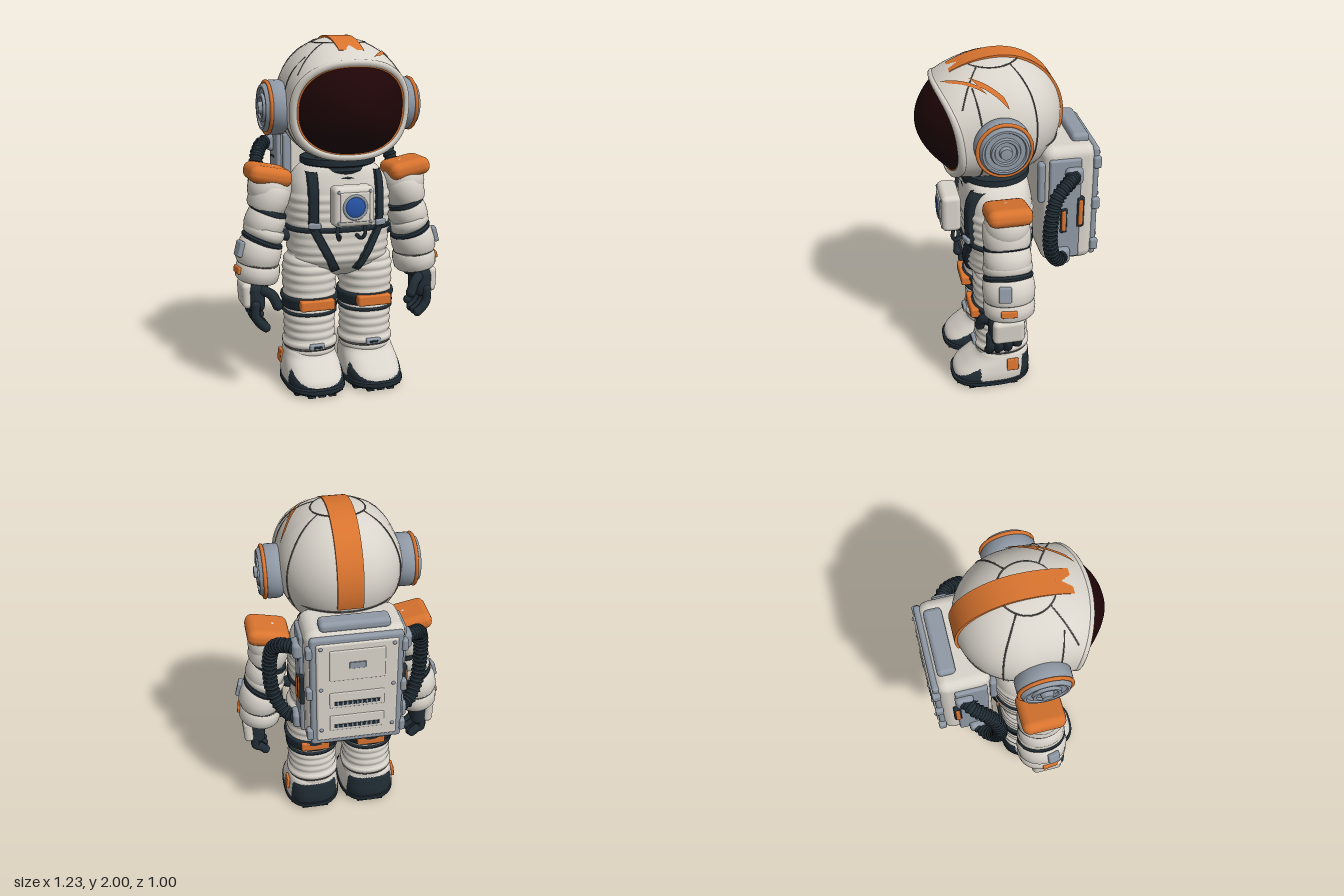
import * as THREE from 'three';
import { mergeVertices, mergeGeometries, toCreasedNormals } from 'three/addons/utils/BufferGeometryUtils.js';
import { RoundedBoxGeometry } from 'three/addons/geometries/RoundedBoxGeometry.js';

const PI = Math.PI;
const V = (x, y, z) => new THREE.Vector3(x, y, z);
const mat = (name, color, side = THREE.FrontSide) => Object.assign(new THREE.MeshStandardMaterial({ color, side }), { name });
const spow = (c, n) => Math.sign(c) * Math.abs(c) ** (2 / n);
const spline = (a, b, c, d, t) => 0.5 * (2 * b + (c - a) * t + (2 * a - 5 * b + 4 * c - d) * t * t + (3 * b - a - 3 * c + d) * t ** 3);

// Surface from fn(u, v) -> [x, y, z]; its front is dU x dV
function grid(fn, nu, nv) {
  const p = [], idx = [];
  for (let j = 0; j <= nv; j++) for (let i = 0; i <= nu; i++) p.push(...fn(i / nu, j / nv));
  for (let j = 0; j < nv; j++) for (let i = 0; i < nu; i++) {
    const a = j * (nu + 1) + i, c = a + nu + 1;
    idx.push(a, a + 1, c, a + 1, c + 1, c);
  }
  const g = new THREE.BufferGeometry().setAttribute('position', new THREE.Float32BufferAttribute(p, 3)).setIndex(idx);
  const m = mergeVertices(g, 1e-5);
  m.computeVertexNormals();
  return m;
}

// Upright loft through rows [y, cx, cz, halfX, halfZ, power]
function loft(rows, sub, ripple = () => 0, seg = 48) {
  const n = rows.length - 1, row = k => rows[Math.max(0, Math.min(n, k))];
  return grid((u, v) => {
    const i = Math.min(Math.floor(v * n + 1e-6), n - 1), t = v * n - i, a = u * 2 * PI;
    const [y, cx, cz, hx, hz, e] = row(i).map((b, k) => sub === 1 ? b + (row(i + 1)[k] - b) * t
      : spline(row(i - 1)[k], b, row(i + 1)[k], row(i + 2)[k], t));
    return [cx + (hx + ripple(y)) * spow(Math.cos(a), e), y, cz - (hz + ripple(y)) * spow(Math.sin(a), e)];
  }, seg, n * sub);
}

// Puts faces whose centre passes the test in a second material group
function split(g, test) {
  const p = g.attributes.position, id = g.index.array, parts = [[], []];
  for (let i = 0; i < id.length; i += 3) {
    const t = [id[i], id[i + 1], id[i + 2]], mid = f => t.reduce((s, k) => s + p[f](k), 0) / 3;
    parts[test(mid('getY'), mid('getZ')) ? 1 : 0].push(...t);
  }
  g.setIndex(parts.flat());
  g.addGroup(0, parts[0].length, 0);
  g.addGroup(parts[0].length, parts[1].length, 1);
  return g;
}

const box = (w, h, d, r) => new RoundedBoxGeometry(w, h, d, 2, r);
const ball = r => new THREE.SphereGeometry(r, 12, 8);
const tube = (pts, r, n = 24) => new THREE.TubeGeometry(new THREE.CatmullRomCurve3(pts), n, r, 8);
const rod = (pts, r) => mergeGeometries([tube(pts, r, 12), ...[pts[0], pts[pts.length - 1]].map(q => ball(r).translate(q.x, q.y, q.z))]);
const lathe = pts => toCreasedNormals(new THREE.LatheGeometry(pts.map(p => new THREE.Vector2(...p)), 40), 0.7);
const puff = (r, h) => lathe([[0, -h / 2], [r * 0.88, -h / 2], [r * 0.96, -h * 0.38], [r, 0], [r * 0.96, h * 0.38], [r * 0.88, h / 2], [0, h / 2]]);

// Helmet: round back, hood flowing forward into the visor rim
const rimZ = (x, y) => 0.36 + 0.12 * (y - 1.615) - 0.07 * (x / 0.33) ** 2;
function hood(a, t, k = 1) {
  const n = 2 + 0.4 * t, x = k * (0.345 - 0.01 * t) * spow(Math.cos(a), n);
  const y = 1.655 - 0.04 * t * t + k * (0.345 - 0.075 * t * t) * spow(Math.sin(a), n);
  return [x, y, 0.04 + (rimZ(x, y) - 0.04) * t];
}
function helmetTop(x, z) {
  if (z < 0.04) return V(x, 1.655 + Math.sqrt(0.345 ** 2 - x * x - (z - 0.04) ** 2), z);
  const t = (z - 0.04) / (0.345 - 0.07 * (x / 0.33) ** 2), n = 2 + 0.4 * t;
  const f = (1 - Math.min(1, Math.abs(x) / (0.345 - 0.01 * t)) ** n) ** (1 / n);
  return V(x, 1.655 - 0.04 * t * t + (0.345 - 0.075 * t * t) * f, z);
}
const onBall = (x, y, z) => V(x, y, z).setLength(0.345).add(V(0, 1.655, 0.04));

// Torso rows, also used to lay straps on its front
const torso = [[0.64, 0.02, 0.02], [0.66, 0.12, 0.1], [0.72, 0.25, 0.165], [0.8, 0.285, 0.19], [0.94, 0.29, 0.195], [1.05, 0.295, 0.2],
  [1.15, 0.29, 0.2], [1.22, 0.27, 0.19], [1.28, 0.22, 0.175], [1.31, 0.15, 0.15]].map(([y, a, b]) => [y, 0, 0.06, a, b, 2.6]);
function torsoZ(x, y) {
  const i = torso.findIndex(r => r[0] > y), A = torso[i - 1], B = torso[i];
  const mix = k => A[k] + (B[k] - A[k]) * (y - A[0]) / (B[0] - A[0]);
  return 0.06 + mix(4) * Math.max(0, 1 - Math.abs(x / mix(3)) ** 2.6) ** (1 / 2.6);
}

export function createModel() {
  const white = mat('suit white', 0xd9d4cb), gray = mat('metal gray', 0x8f99a5), seam = mat('seam', 0x5f5c57);
  const orange = mat('orange', 0xd9742f, THREE.DoubleSide), dark = mat('dark rubber', 0x212d35, THREE.DoubleSide);
  const visor = mat('visor', 0x1f0507), blue = mat('blue lens', 0x2854a8);
  const root = new THREE.Group();
  const group = name => { const g = new THREE.Group(); g.name = name; root.add(g); return g; };
  const add = (parent, name, geo, m, pos = [0, 0, 0], rot = [0, 0, 0], scale = [1, 1, 1]) => {
    const o = new THREE.Mesh(geo, m);
    o.name = name; o.position.set(...pos); o.rotation.set(...rot); o.scale.set(...scale);
    parent.add(o);
    return o;
  };
  const helmet = group('helmet'), body = group('torso'), chest = group('chestBox'), pack = group('backpack');

  // Helmet shell, rim and visor
  add(helmet, 'helmetShell', new THREE.SphereGeometry(0.344, 48, 32), white, [0, 1.655, 0.04]);
  add(helmet, 'helmetHood', grid((u, v) => hood(u * 2 * PI, v), 72, 16), white);
  const ring = (a, b, r) => grid((u, v) => {
    const t = u * 2 * PI, w = v * 2 * PI, k = r * Math.cos(w);
    const x = (a + k) * spow(Math.cos(t), 2.4), y = 1.615 + (b + k) * spow(Math.sin(t), 2.4);
    return [x, y, rimZ(x, y) + r * Math.sin(w)];
  }, 72, 10);
  add(helmet, 'visorRim', ring(0.32, 0.255, 0.02), white);
  add(helmet, 'visorTrim', ring(0.302, 0.24, 0.011), orange);
  add(helmet, 'visorGlass', grid((u, v) => {
    const t = u * 2 * PI, q = 1 - v, x = 0.3 * q * spow(Math.cos(t), 2.4), y = 1.615 + 0.24 * q * spow(Math.sin(t), 2.4);
    return [x, y, rimZ(x, y) + 0.135 * (1 - q * q)];
  }, 72, 18), visor);

  // Band over the crown
  const line = [];
  for (let i = 0; i < 40; i++) line.push([0.04 + 0.351 * Math.cos(PI * (1.09 - i * 0.01475)), 1.655 + 0.349 * Math.sin(PI * (1.09 - i * 0.01475))]);
  for (let i = 0; i <= 20; i++) line.push([0.04 + i * 0.0135, helmetTop(0, 0.04 + i * 0.0135).y + 0.004]);
  const under = line.map(([z, y]) => [0.04 + (z - 0.04) * 0.94, 1.655 + (y - 1.655) * 0.94]).reverse();
  const bandShape = new THREE.Shape([...line, ...under].map(p => new THREE.Vector2(...p)));
  add(helmet, 'crownBand', toCreasedNormals(new THREE.ExtrudeGeometry(bandShape, { depth: 0.14, bevelEnabled: false }).rotateY(-PI / 2), 0.5), orange, [0.07, 0, 0]);

  // Two overlapping patches on the left of the hood
  for (const [t0, t1, w, d] of [[0.02, 0.5, 6, 3], [0.4, 0.88, 5, -2]])
    add(helmet, 'hoodPatch', grid((u, v) => {
      const t = t0 + (t1 - t0) * v;
      return hood((25 + 54 * t + d + w * (2 * u - 1)) * PI / 180, Math.max(0, t + (u - 0.5) * 0.1), 1.02);
    }, 6, 16), orange);

  // Panel seams and ear pods
  const crown = Array.from({ length: 32 }, (_, i) => helmetTop(0.147 * Math.cos(i * PI / 16), 0.08 + 0.147 * Math.sin(i * PI / 16)));
  add(helmet, 'crownSeam', new THREE.TubeGeometry(new THREE.CatmullRomCurve3(crown, true), 64, 0.004, 6, true), seam);
  for (const s of [1, -1]) {
    for (const pts of [[0, 1, 2, 3, 4].map(i => helmetTop(s * (0.11 + 0.045 * i), 0.17 + 0.027 * i)),
      [50, 30, 10, -10, -30, -50, -65].map(d => V(...hood(d * PI / 180, 0.55)).multiply(V(s, 1, 1))),
      [[0.12, 0.32, -0.04], [0.2, 0.26, -0.09], [0.26, 0.18, -0.13], [0.3, 0.05, -0.15], [0.3, -0.1, -0.15], [0.24, -0.24, -0.13]].map(([x, y, z]) => onBall(x * s, y, z)),
      [0.3, 0.2, 0.1, 0].map(x => onBall(x * s, -0.12, -Math.sqrt(0.1046 - x * x)))]) add(helmet, 'panelSeam', tube(pts, 0.004), seam);
    const ear = group(s > 0 ? 'leftEarPod' : 'rightEarPod');
    ear.position.set(0.32 * s, 1.62, 0.083);
    ear.rotation.z = -s * PI / 2;
    add(ear, 'podBody', lathe([[0, 0], [0.14, 0], [0.15, 0.02], [0.15, 0.075], [0.14, 0.09], [0.13, 0.115], [0.122, 0.125], [0.11, 0.125], [0.105, 0.115],
      [0.08, 0.115], [0.075, 0.13], [0.06, 0.13], [0.055, 0.12], [0.035, 0.12], [0.03, 0.145], [0, 0.148]]), gray);
    add(ear, 'podTrim', new THREE.TorusGeometry(0.142, 0.011, 8, 48), orange, [0, 0.096, 0], [PI / 2, 0, 0]);
  }

  // Torso, belt and collar
  add(body, 'torsoShell', loft(torso, 10, y => (y > 0.74 && y < 1.14 ? 0.008 * Math.abs(Math.sin((y - 0.74) / 0.05 * PI)) : 0)), white);
  add(body, 'belt', loft([[0.925, 0.28, 0.19], [0.93, 0.305, 0.21], [0.955, 0.305, 0.21], [0.96, 0.28, 0.19]].map(([y, a, b]) => [y, 0, 0.06, a, b, 2.6]), 1), dark);
  add(body, 'collar', lathe([[0.17, 1.2], [0.2, 1.23], [0.19, 1.25], [0.2, 1.27], [0.195, 1.29], [0.215, 1.3], [0.215, 1.335], [0.18, 1.35], [0, 1.36]]), dark, [0, 0, 0.065], [0, 0, 0], [1, 1, 0.93]);

  // Harness straps, buckles and hoses
  const strap = (x0, y0, x1, y1, w) => {
    const d = Math.hypot(x1 - x0, y1 - y0) / w * 2;
    add(body, 'strap', grid((u, v) => {
      const k = 2 * u - 1, x = x0 + (x1 - x0) * v - (y1 - y0) * k / d, y = y0 + (y1 - y0) * v + (x1 - x0) * k / d;
      return [x, y, torsoZ(x, y) + (Math.abs(k) > 0.9 ? 0 : 0.026)];
    }, 12, 20), dark);
  };
  for (const s of [1, -1]) {
    strap(0.192 * s, 1.27, 0.192 * s, 0.95, 0.055);
    strap(0.19 * s, 0.95, 0.06 * s, 0.7, 0.05);
    add(body, 'buckle', box(0.07, 0.035, 0.025, 0.01), gray, [0.192 * s, 0.975, torsoZ(0.19, 0.975) + 0.03], [0, 0.35 * s, 0]);
    add(body, 'chestHose', tube([V(0.075 * s, 1.0, 0.31), V(0.08 * s, 0.93, 0.32), V(0.065 * s, 0.9, 0.3), V(0.05 * s, 0.91, 0.26)], 0.011), dark);
    add(body, 'hipConnector', ball(0.035), dark, [0.305 * s, 0.89, 0.06]);
    for (const y of [1.01, 1.18]) add(chest, 'screw', ball(0.01), gray, [0.09 * s, y, 0.38], [0, 0, 0], [1, 1, 0.5]);
  }

  // Chest control box
  add(chest, 'chestCase', box(0.235, 0.225, 0.11, 0.03), white, [0, 1.095, 0.325]);
  add(chest, 'chestPlate', box(0.17, 0.165, 0.02, 0.009), white, [0, 1.095, 0.377]);
  add(chest, 'lensRing', new THREE.TorusGeometry(0.063, 0.009, 8, 40), gray, [0, 1.095, 0.386]);
  add(chest, 'lens', new THREE.SphereGeometry(0.062, 32, 12), blue, [0, 1.095, 0.383], [0, 0, 0], [1, 1, 0.25]);

  for (const s of [1, -1]) {
    // Arm: tilted puffs and bands
    const arm = group(s > 0 ? 'leftArm' : 'rightArm');
    add(arm, 'shoulder', new THREE.SphereGeometry(0.125, 32, 20), white, [0.4 * s, 1.17, 0.07]);
    add(arm, 'shoulderPad', box(0.245, 0.1, 0.245, 0.045), orange, [0.41 * s, 1.248, 0.068], [0, 0, 0.2 * s]);
    for (const [name, x, y, tilt, r, h, m] of [['upperArm', 0.405, 1.12, 0.35, 0.115, 0.15, white], ['upperBand', 0.414, 1.045, 0.42, 0.113, 0.04, dark],
      ['elbow', 0.43, 0.98, 0.42, 0.115, 0.12, white], ['elbowFold', 0.437, 0.925, 0.42, 0.12, 0.07, white], ['lowerBand', 0.448, 0.875, 0.42, 0.122, 0.035, dark],
      ['forearm', 0.468, 0.805, 0.28, 0.127, 0.14, white], ['cuffLine', 0.475, 0.75, 0.2, 0.122, 0.03, seam], ['cuff', 0.477, 0.7, 0.16, 0.126, 0.11, white], ['gloveCuff', 0.485, 0.64, 0.15, 0.075, 0.06, dark]])
      add(arm, name, puff(r, h), m, [x * s, y, 0.072], [0, 0, tilt * s], [1, 1, 1.16]);
    add(arm, 'wristDisplay', box(0.03, 0.09, 0.07, 0.01), gray, [0.587 * s, 0.845, 0.115], [0, -0.2 * s, 0.25 * s]);
    add(arm, 'cuffPatch', box(0.02, 0.04, 0.09, 0.008), orange, [0.597 * s, 0.72, 0.095], [0, -0.12 * s, 0.16 * s]);
    // Glove
    add(arm, 'palm', box(0.1, 0.18, 0.19, 0.045), dark, [0.505 * s, 0.565, 0.1]);
    add(arm, 'handGuard', box(0.06, 0.15, 0.18, 0.028), white, [0.555 * s, 0.58, 0.09], [0, 0, -0.05 * s]);
    for (const [z, e] of [[0.185, 0], [0.133, 0], [0.081, 0], [0.03, 0.03]])
      add(arm, 'finger', rod([V(0.515 * s, 0.53, z), V(0.515 * s, 0.46, z), V(0.49 * s, 0.42 + e, z), V(0.46 * s, 0.393 + e, z)], 0.027), dark);
    add(arm, 'thumb', rod([V(0.48 * s, 0.61, 0.16), V(0.43 * s, 0.59, 0.21), V(0.4 * s, 0.53, 0.225)], 0.03), dark);

    // Leg: ribbed tubes with a knee band
    const leg = group(s > 0 ? 'leftLeg' : 'rightLeg'), lx = 0.17 * s;
    const pleat = step => y => 0.009 * Math.abs(Math.sin(y / step * PI));
    for (const [name, m, sub, ripple, rows] of [['thigh', white, 13, pleat(0.052), [[0.52, 0.142], [0.65, 0.147], [0.74, 0.14], [0.8, 0.11]]],
      ['kneeBand', dark, 1, undefined, [[0.465, 0.13], [0.475, 0.16], [0.5, 0.155], [0.525, 0.166], [0.545, 0.162], [0.55, 0.13]]],
      ['kneeRing', dark, 1, undefined, [[0.435, 0.13], [0.44, 0.157], [0.455, 0.157], [0.46, 0.13]]],
      ['shin', white, 40, pleat(0.048), [[0.2, 0.14], [0.48, 0.14]]],
      ['ankleRing', white, 1, undefined, [[0.235, 0.14], [0.245, 0.157], [0.268, 0.157], [0.278, 0.14]]],
      ['ankleLine', seam, 1, undefined, [[0.228, 0.13], [0.23, 0.15], [0.238, 0.15], [0.24, 0.13]]]])
      add(leg, name, loft(rows.map(([y, r]) => [y, lx, 0.06, r, r * 1.06, 2.2]), sub, ripple), m);
    add(leg, 'kneePad', box(0.2, 0.062, 0.06, 0.012), orange, [lx, 0.51, 0.223]);
    add(leg, 'rearKneePad', box(0.17, 0.062, 0.05, 0.012), orange, [lx, 0.51, -0.087]);
    add(leg, 'ankleBuckle', box(0.09, 0.035, 0.03, 0.01), gray, [lx, 0.257, 0.222]);
    add(leg, 'buckleSlot', box(0.05, 0.012, 0.008, 0.003), dark, [lx, 0.257, 0.237]);

    // Boot with dark toe and heel panels, sole and treads
    const boot = group(s > 0 ? 'leftBoot' : 'rightBoot'), bx = 0.176 * s;
    const bootRows = list => list.map(([y, w, z0, z1]) => [y, bx, (z0 + z1) / 2, w, (z1 - z0) / 2, 2.7]);
    add(boot, 'bootShell', split(loft(bootRows([[0.045, 0.165, -0.1, 0.36], [0.09, 0.168, -0.105, 0.345], [0.14, 0.162, -0.103, 0.285], [0.185, 0.152, -0.1, 0.225], [0.22, 0.14, -0.09, 0.2], [0.23, 0.12, -0.07, 0.18]]), 7, undefined, 108),
      (y, z) => (z > 0.21 && y < 0.06 + (0.36 - z) * 0.53) || (z < -0.03 - (y - 0.05) * 0.1 && y < 0.2)), [white, dark]);
    add(boot, 'sole', toCreasedNormals(loft(bootRows([[0.018, 0.001, 0.1, 0.12], [0.018, 0.165, -0.1, 0.362], [0.03, 0.173, -0.106, 0.37], [0.05, 0.173, -0.106, 0.37], [0.06, 0.16, -0.095, 0.355]]), 1), 0.6), dark);
    for (let i = 0; i < 7; i++) for (let j = -2; j <= 2; j++)
      if (Math.abs(j) < 2 || (i > 0 && i < 6)) add(boot, 'tread', new THREE.BoxGeometry(0.042, 0.024, 0.04), dark, [bx + j * 0.06, 0.012, -0.06 + i * 0.064]);
    add(boot, 'bootPatch', box(0.02, 0.075, 0.07, 0.006), orange, [bx + 0.158 * s, 0.158, 0.018], [0, 0, 0.12 * s]);

    // Ribbed backpack hose
    const path = new THREE.CatmullRomCurve3([V(0.29, 1.37, -0.33), V(0.35, 1.37, -0.29), V(0.41, 1.3, -0.2), V(0.43, 1.13, -0.165), V(0.41, 0.97, -0.18), V(0.35, 0.88, -0.235), V(0.29, 0.87, -0.27)].map(p => p.multiply(V(s, 1, 1))));
    add(pack, 'hose', new THREE.TubeGeometry(path, 40, 0.035, 14), dark);
    for (let i = 1; i < 26; i++) {
      const o = add(pack, 'hoseRib', new THREE.TorusGeometry(0.034, 0.009, 6, 16), dark, path.getPointAt(i / 26).toArray());
      o.lookAt(o.position.clone().add(path.getTangentAt(i / 26)));
    }
    // Backpack side fittings
    for (const [name, m, size, pos] of [['sidePanel', gray, [0.03, 0.62, 0.18, 0.014], [0.275, 1.155, -0.28]], ['shoulderMount', gray, [0.05, 0.24, 0.04, 0.015], [0.24, 1.32, -0.155]],
      ['slotFrame', dark, [0.03, 0.16, 0.045, 0.012], [0.28, 1.09, -0.275]], ['slotLight', orange, [0.03, 0.13, 0.026, 0.01], [0.287, 1.09, -0.275]],
      ['slotFrame', dark, [0.03, 0.19, 0.045, 0.012], [0.28, 1.135, -0.37]], ['slotLight', orange, [0.03, 0.16, 0.026, 0.01], [0.287, 1.135, -0.37]],
      ['sideLine', dark, [0.02, 0.014, 0.08, 0.005], [0.284, 1.29, -0.29]], ['hoseMount', gray, [0.06, 0.1, 0.1, 0.025], [0.295, 1.37, -0.325]], ['hoseMount', gray, [0.06, 0.1, 0.1, 0.025], [0.295, 0.87, -0.265]]])
      add(pack, name, box(...size), m, [pos[0] * s, pos[1], pos[2]]);
    for (const y of [1.42, 1.165, 0.9]) {
      add(pack, 'frameClip', box(0.035, 0.07, 0.045, 0.012), gray, [0.255 * s, y, -0.465]);
      add(pack, 'rivet', ball(0.011), gray, [0.195 * s, y + 0.03, -0.488]);
    }
  }

  // Backpack case, back plates and vents
  for (const [name, m, size, pos] of [['packBody', white, [0.54, 0.72, 0.3, 0.06], [1.165, -0.31]], ['packFrame', gray, [0.5, 0.68, 0.04, 0.018], [1.165, -0.46]],
    ['packBackPlate', white, [0.44, 0.62, 0.03, 0.014], [1.165, -0.474]], ['upperHatch', white, [0.3, 0.19, 0.02, 0.009], [1.34, -0.484]], ['hatchLatch', gray, [0.09, 0.04, 0.01, 0.004], [1.34, -0.494]],
    ['topHandle', gray, [0.38, 0.06, 0.1, 0.025], [1.535, -0.385]], ['bottomBar', gray, [0.38, 0.06, 0.1, 0.025], [0.803, -0.375]]])
    add(pack, name, box(...size), m, [0, ...pos]);
  for (const y of [1.12, 0.97]) {
    add(pack, 'ventCover', box(0.3, 0.1, 0.018, 0.008), white, [0, y, -0.484]);
    add(pack, 'vent', box(0.25, 0.024, 0.008, 0.003), dark, [0, y - 0.02, -0.492]);
    for (let i = -4; i <= 4; i++) add(pack, 'ventFin', new THREE.BoxGeometry(0.008, 0.024, 0.008), gray, [i * 0.026, y - 0.02, -0.494]);
  }
  return root;
}
